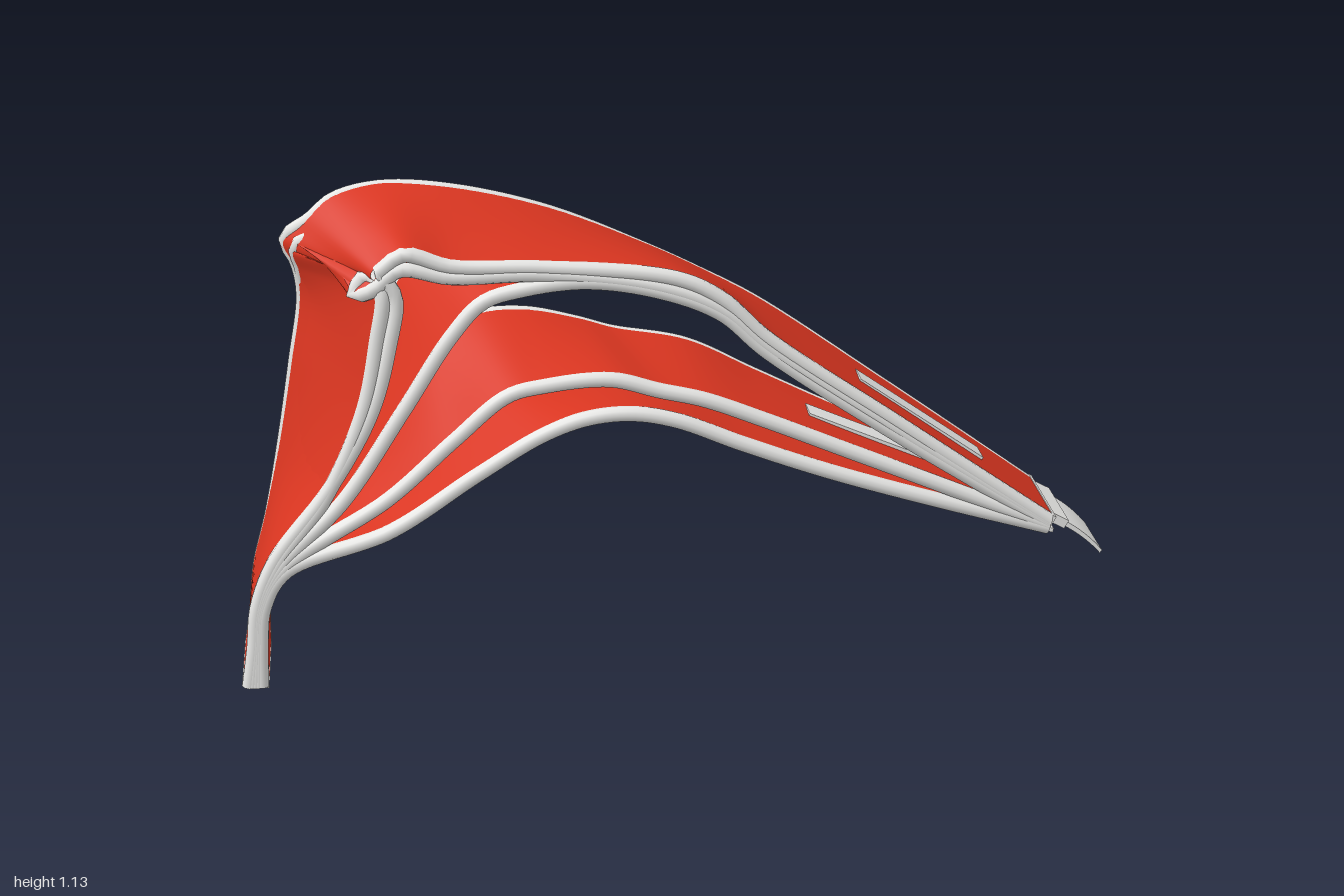
import * as THREE from 'three';

const red = new THREE.MeshStandardMaterial({ name: 'redWebbing', color: 0xd93520, side: THREE.DoubleSide });
const grey = new THREE.MeshStandardMaterial({ name: 'paleTrim', color: 0xf0f0ee });

const HALF = 0.122; // half the distance between the two piped edges
const PIPE = 0.0175;
const THICK = 0.0155; // half the thickness of the webbing

function mesh(name, geometry, material) {
  const m = new THREE.Mesh(geometry, material);
  m.name = name;
  return m;
}

// Edge path: shared foot, own middle points, shared tail; level fans the layers apart
function edge(points, z, level) {
  const all = [
    [-0.953 - 0.007 * level, 0.004], [-0.95 - 0.004 * level, 0.1], [-0.938 - 0.004 * level, 0.2],
    ...points,
    [0.86, 0.319 + 0.004 * level],
  ];
  return new THREE.CatmullRomCurve3(
    all.map(([x, y, pz]) => new THREE.Vector3(x, y, pz ?? z)), false, 'centripetal');
}

// Thick ruled band between two edge curves: an upper and a lower sheet
function bandGeometry(front, back, steps = 130, across = 6) {
  const pos = [], idx = [], row = across + 1;
  for (const side of [1, -1]) {
    const base = pos.length / 3;
    for (let i = 0; i <= steps; i++) {
      const t = i / steps;
      const a = front.getPoint(t), b = back.getPoint(t);
      const along = front.getTangent(t).add(back.getTangent(t));
      const offset = a.clone().sub(b).cross(along).normalize().multiplyScalar(side * THICK);
      for (let j = 0; j <= across; j++) {
        const p = a.clone().lerp(b, j / across).add(offset);
        pos.push(p.x, p.y, p.z);
        if (i < steps && j < across) {
          const k = base + i * row + j;
          const [m, n] = side > 0 ? [k + row, k + 1] : [k + 1, k + row];
          idx.push(k, m, n, n, m, k + row + 1);
        }
      }
    }
  }
  const g = new THREE.BufferGeometry();
  g.setAttribute('position', new THREE.Float32BufferAttribute(pos, 3));
  g.setIndex(idx);
  g.computeVertexNormals();
  return g;
}

function strap(name, level, frontPts, backPts) {
  const g = new THREE.Group();
  g.name = name;
  const knee = [-0.887 - 0.006 * level, 0.283 + 0.006 * level];
  const front = edge([knee, ...frontPts], HALF, level), back = edge(backPts, -HALF, level);
  g.add(mesh('webbing', bandGeometry(front, back), red));
  g.add(mesh('frontPiping', new THREE.TubeGeometry(front, 130, PIPE, 10), grey));
  g.add(mesh('backPiping', new THREE.TubeGeometry(back, 130, PIPE, 10), grey));
  return g;
}

// Box lying along a slope in the xy plane
function slab(name, x, y, length, thick, width, angle) {
  const m = mesh(name, new THREE.BoxGeometry(length, thick, width), grey);
  m.position.set(x, y, 0);
  m.rotation.z = angle;
  return m;
}

export function createModel() {
  const model = new THREE.Group();
  model.name = 'strapBundle';

  // Lowest strap
  model.add(strap('lowestStrap', 0,
    [[-0.65, 0.37], [-0.45, 0.5], [-0.3, 0.59], [-0.2, 0.625], [-0.1, 0.632], [0, 0.612], [0.15, 0.55], [0.35, 0.475], [0.6, 0.395]],
    [[-0.84, 0.305], [-0.68, 0.42], [-0.5, 0.57], [-0.39, 0.635], [-0.27, 0.642], [-0.13, 0.637], [0, 0.615], [0.15, 0.56], [0.35, 0.48], [0.6, 0.4]]));

  // Second strap
  model.add(strap('lowerStrap', 1,
    [[-0.65, 0.45], [-0.5, 0.585], [-0.38, 0.685], [-0.3, 0.705], [-0.15, 0.715], [-0.04, 0.685], [0.06, 0.66], [0.2, 0.605], [0.4, 0.52], [0.6, 0.435]],
    [[-0.85, 0.335], [-0.7, 0.54], [-0.55, 0.73], [-0.44, 0.79], [-0.33, 0.797], [-0.21, 0.77], [-0.13, 0.745], [0.04, 0.71], [0.2, 0.63], [0.4, 0.53], [0.6, 0.44]]));

  // Middle strap
  model.add(strap('middleStrap', 2,
    [[-0.75, 0.45], [-0.61, 0.66], [-0.5, 0.83], [-0.43, 0.905], [-0.35, 0.93], [-0.2, 0.945], [-0.03, 0.915], [0.1, 0.86], [0.2, 0.77], [0.5, 0.56]],
    [[-0.875, 0.34], [-0.78, 0.53], [-0.67, 0.75], [-0.59, 0.9], [-0.51, 0.975], [-0.4, 0.995], [-0.22, 0.975], [-0.05, 0.91], [0.08, 0.85], [0.2, 0.775], [0.5, 0.565]]));

  // Upper strap, folded at the top of the rise
  model.add(strap('upperStrap', 3,
    [[-0.79, 0.46], [-0.7, 0.66], [-0.665, 0.82], [-0.65, 0.94], [-0.68, 0.97, 0.1], [-0.71, 0.925, 0.1], [-0.67, 0.94], [-0.61, 0.985],
      [-0.5, 0.965], [-0.3, 0.965], [-0.03, 0.925], [0.1, 0.87], [0.2, 0.783], [0.5, 0.573]],
    [[-0.915, 0.33], [-0.88, 0.5], [-0.847, 0.7], [-0.82, 0.86], [-0.825, 0.93, -0.1], [-0.835, 0.985, -0.08], [-0.79, 1.02, -0.07], [-0.74, 1.06, -0.08], [-0.66, 1.085, -0.09],
      [-0.5, 1.07, -0.1], [-0.3, 1.02], [-0.05, 0.91], [0.08, 0.86], [0.2, 0.79], [0.5, 0.58]]));

  // Top strap
  model.add(strap('topStrap', 4,
    [[-0.78, 0.48], [-0.68, 0.66], [-0.635, 0.82], [-0.62, 0.92], [-0.645, 0.965], [-0.66, 0.975], [-0.645, 0.99], [-0.6, 1.02],
      [-0.5, 0.99], [-0.3, 0.98], [0.0, 0.945], [0.1, 0.895], [0.2, 0.8], [0.5, 0.588]],
    [[-0.92, 0.33], [-0.885, 0.5], [-0.85, 0.7], [-0.825, 0.86], [-0.835, 0.94, -0.11], [-0.858, 0.995, -0.11], [-0.8, 1.045, -0.09], [-0.75, 1.085, -0.1], [-0.65, 1.107, -0.11],
      [-0.5, 1.1, -0.1], [-0.28, 1.045, -0.1], [-0.05, 0.94], [0.07, 0.88], [0.2, 0.808], [0.5, 0.596]]));

  // Flat labels lying on two of the straps
  model.add(slab('topLabel', 0.573, 0.559, 0.355, 0.009, 0.07, -0.61));
  model.add(slab('lowerLabel', 0.45, 0.522, 0.3, 0.009, 0.07, -0.405));

  // Thin caps closing the gathered strap ends
  model.add(slab('footCap', -0.967, 0.004, 0.062, 0.005, 0.25, -0.12));
  model.add(slab('tailCap', 0.862, 0.328, 0.008, 0.044, 0.265, -0.5));

  // Buckle clamp and its backing plate
  model.add(slab('buckleBacking', 0.835, 0.312, 0.09, 0.01, 0.2, -0.3));
  model.add(slab('buckleClamp', 0.885, 0.326, 0.052, 0.022, 0.207, -0.5));

  // Curved buckle tongue
  const profile = new THREE.Shape();
  profile.moveTo(0.88, 0.318);
  profile.quadraticCurveTo(0.95, 0.283, 0.995, 0.231);
  profile.lineTo(1.0, 0.238);
  profile.quadraticCurveTo(0.955, 0.293, 0.885, 0.329);
  const tongue = mesh('buckleTongue', new THREE.ExtrudeGeometry(profile, { depth: 0.17, bevelEnabled: false }), grey);
  tongue.position.z = -0.085;
  model.add(tongue);

  return model;
}
